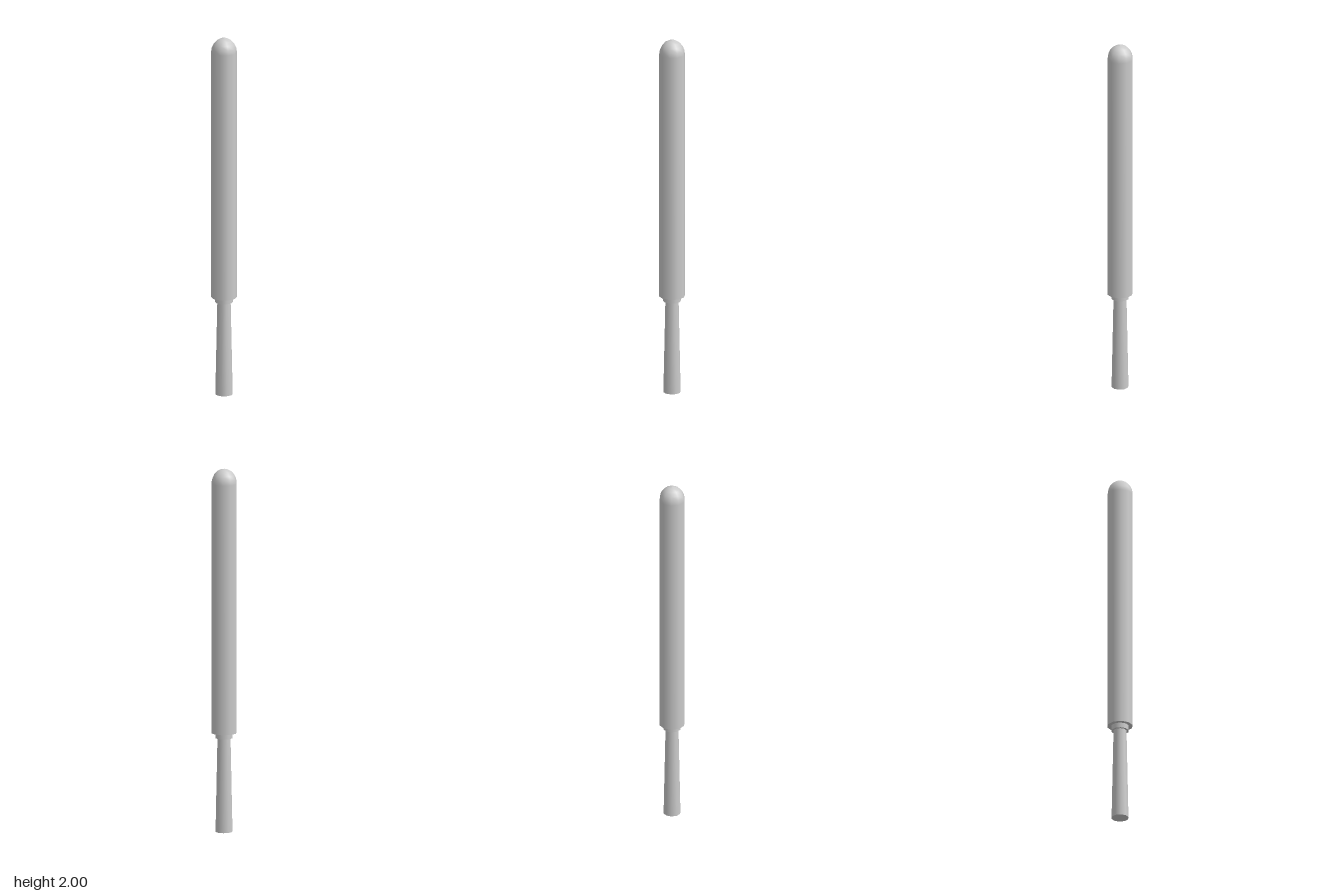
import * as THREE from 'three';

const SIDES = 10;

export function createModel() {
  const model = new THREE.Group();
  const material = new THREE.MeshStandardMaterial({ color: 0xcccccc });
  const add = (name, geometry, y) => {
    const mesh = new THREE.Mesh(geometry, material);
    mesh.name = name;
    mesh.position.y = y;
    model.add(mesh);
  };

  const bodyRadius = 0.07, bodyBottom = 0.545, domeBottom = 1.92, domeHeight = 0.08;

  // Flared handle and the collar joining it to the body
  add('handle', new THREE.CylinderGeometry(0.036, 0.047, 0.52, SIDES), 0.26);
  add('collar', new THREE.CylinderGeometry(0.048, 0.048, 0.03, SIDES), 0.532);

  // Long straight body rising into a rounded tip
  const profile = [new THREE.Vector2(bodyRadius, bodyBottom)];
  const steps = 5;
  for (let i = 0; i <= steps; i++) {
    const a = (i / steps) * Math.PI / 2;
    const r = i === steps ? 0 : bodyRadius * Math.cos(a);
    profile.push(new THREE.Vector2(r, domeBottom + domeHeight * Math.sin(a)));
  }
  add('body', new THREE.LatheGeometry(profile, SIDES), 0);

  // Flat underside of the body
  const underside = new THREE.CircleGeometry(bodyRadius, SIDES, Math.PI / 2);
  underside.rotateX(Math.PI / 2);
  add('bodyUnderside', underside, bodyBottom);

  return model;
}
